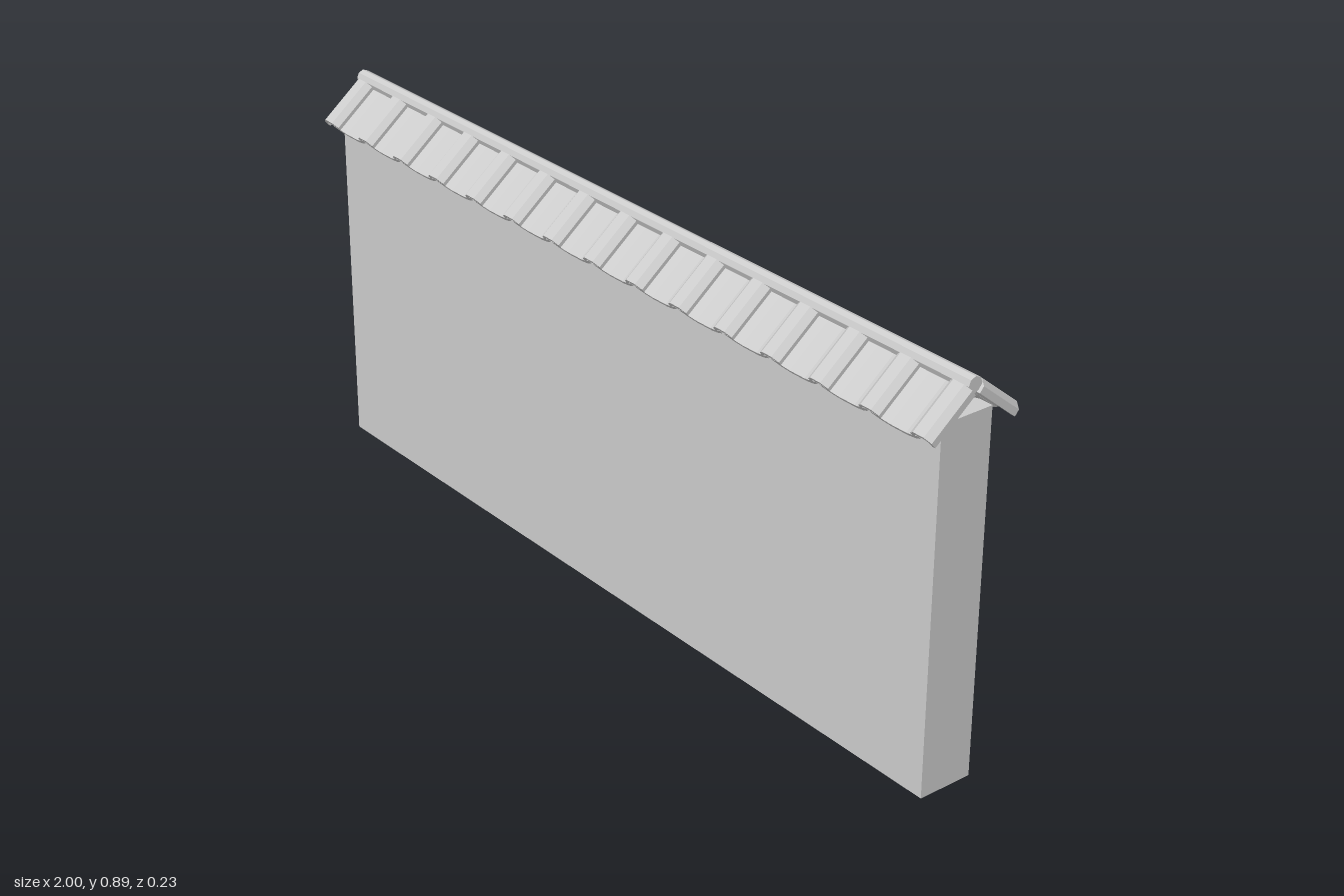
import * as THREE from 'three';

const material = new THREE.MeshStandardMaterial({ color: 0xcccccc, flatShading: true });

const PITCH = Math.atan2(0.077, 0.095); // roof slope
const LENGTH = 0.122;                   // tile length down the slope
const CAPS = 15;
const FIRST = -0.97;
const STEP = (-2 * FIRST) / (CAPS - 1);

// Extrudes a tile section (x across, y off the slope) whose right half is mirrored.
function tileGeometry(outer, inner) {
  const mirror = (half) => [...half.map(([x, y]) => [-x, y]), ...half.slice().reverse()];
  const points = [...mirror(outer), ...mirror(inner).reverse()];
  const shape = new THREE.Shape(points.map(([x, y]) => new THREE.Vector2(x, y)));
  return new THREE.ExtrudeGeometry(shape, { depth: LENGTH, bevelEnabled: false });
}

function addMesh(parent, geometry, name, x = 0, y = 0, z = 0) {
  const mesh = new THREE.Mesh(geometry, material);
  mesh.name = name;
  mesh.position.set(x, y, z);
  parent.add(mesh);
  return mesh;
}

export function createModel() {
  const model = new THREE.Group();
  model.name = 'tiledWall';

  // Plain wall slab
  addMesh(model, new THREE.BoxGeometry(1.965, 0.81, 0.127), 'wall', -0.0075, 0.405, 0);

  // Arched cap tile and trough-shaped pan tile
  const cap = tileGeometry(
    [[0.028, 0.008], [0.028, 0.023], [0.014, 0.035]],
    [[0.020, 0.008], [0.020, 0.019], [0.010, 0.027]]
  );
  const pan = tileGeometry(
    [[0.064, 0.026], [0.045, 0.016], [0.022, 0.009]],
    [[0.064, 0.017], [0.045, 0.006], [0.022, 0]]
  );

  // Two roof slopes, front and back
  for (const side of ['front', 'back']) {
    const slope = new THREE.Group();
    slope.name = `${side}RoofSlope`;
    if (side === 'back') slope.rotation.y = Math.PI;
    for (let i = 0; i < CAPS; i++) {
      const x = FIRST + i * STEP;
      addMesh(slope, cap, 'capTile', x, 0.855, 0).rotation.x = PITCH;
      if (i < CAPS - 1) addMesh(slope, pan, 'panTile', x + STEP / 2, 0.855, 0).rotation.x = PITCH;
    }
    model.add(slope);
  }

  // Octagonal ridge roll along the top
  const ridge = new THREE.CylinderGeometry(0.017, 0.017, 1.99, 8);
  ridge.rotateZ(Math.PI / 2);
  addMesh(model, ridge, 'ridge', -0.004, 0.878, 0);

  return model;
}
